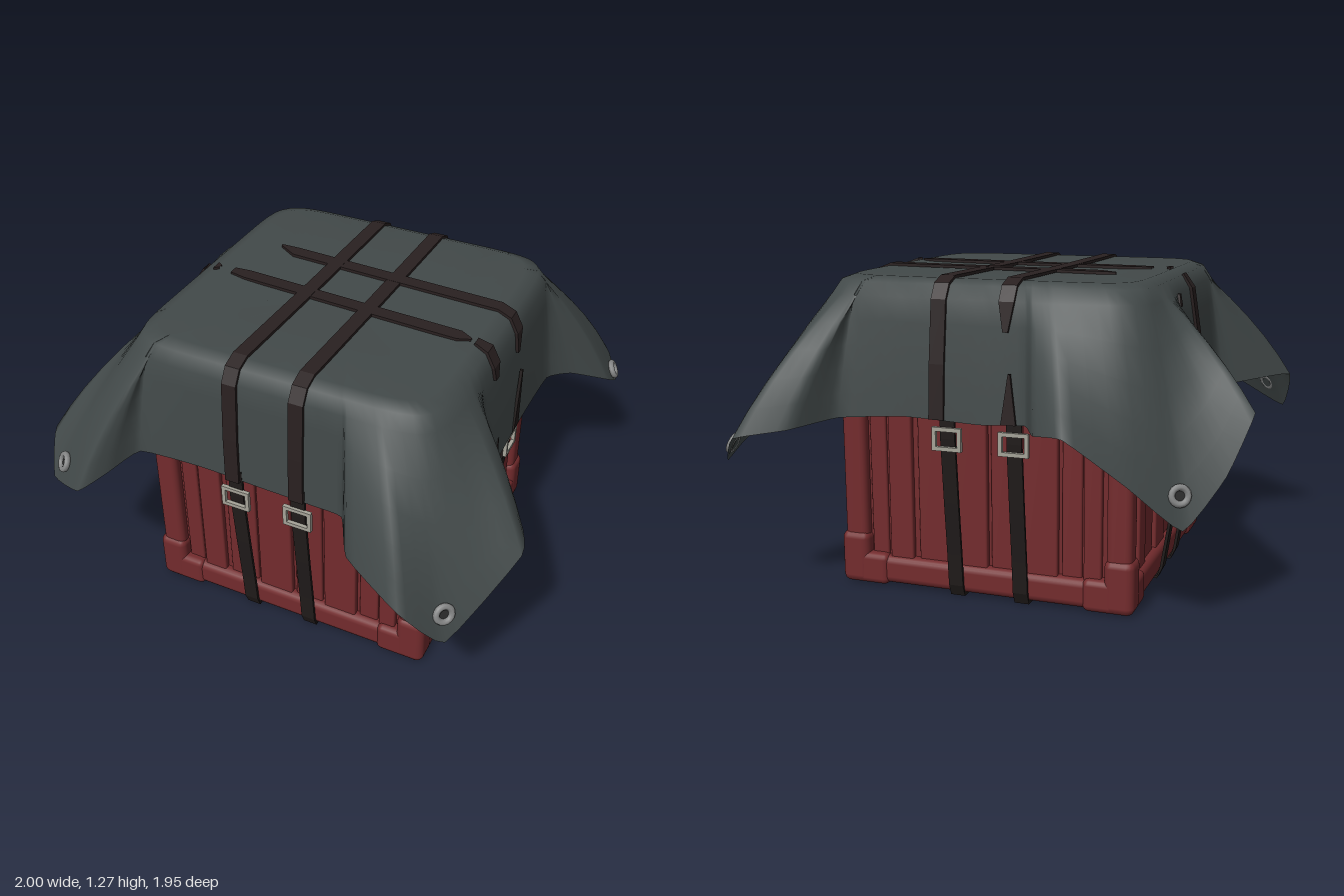
import * as THREE from 'three';
import { RoundedBoxGeometry } from 'three/addons/geometries/RoundedBoxGeometry.js';

const paint = (name, color, side = THREE.FrontSide) =>
  Object.assign(new THREE.MeshStandardMaterial({ color, side }), { name });

const CX = 0.03;            // crate centre in x
const HALF = 0.66;          // half width of the cloth at its shoulder

// Hem of the cloth, walked from the front centre towards +x and round
const HEM = [
  [0, .75, .68], [.2, .745, .68], [.33, .745, .69], [.43, .73, .86], [.68, .66, .97],
  [.82, .455, .845], [1, .75, .6], [.95, .77, .46], [.78, .79, .31], [.735, .73, .23],
  [.725, .72, -.2], [.73, .71, -.56], [.81, .69, -.67], [.95, .63, -.78], [.97, .56, -.9],
  [.89, .67, -.98], [.7, .7, -.9], [.58, .72, -.72], [.3, .74, -.7], [0, .73, -.7],
  [-.18, .74, -.7], [-.26, .74, -.84], [-.39, .75, -.9], [-.6, .57, -.8], [-.78, .4, -.7],
  [-.92, .6, -.64], [-1, .82, -.56], [-.92, .78, -.4], [-.69, .72, -.18], [-.68, .7, .1],
  [-.68, .7, .48], [-.8, .72, .58], [-.97, .74, .69], [-.93, .57, .8], [-.72, .65, .91],
  [-.63, .71, .82], [-.55, .76, .7], [-.28, .76, .68],
];
// Eyelets: position along the hem, and how far down the cloth
const EYELETS = [[5, .84], [14, .9], [24, .84], [33.3, .85]];
const hemCurve = new THREE.CatmullRomCurve3(HEM.map(p => new THREE.Vector3(...p)), true, 'catmullrom', .2);

// Point of the hanging cloth: u runs round the hem, v from shoulder (0) to hem (1)
function drape(u, v, scale = 1, y = 1.19) {
  const hem = hemCurve.getPoint(((u % 1) + 1) % 1);
  const dx = hem.x - CX, n = 9;
  const r = HALF * scale / Math.pow(Math.abs(dx) ** n + Math.abs(hem.z) ** n, 1 / n);
  const out = v + .3 * v * (1 - v);    // slight outward belly
  const mix = THREE.MathUtils.lerp;
  return new THREE.Vector3(mix(CX + dx * r, hem.x, out), mix(y, hem.y, v), mix(hem.z * r, hem.z, out));
}

function clothGeometry() {
  const rows = [[0, 0, 1.257], [0, .5, 1.257], [0, .88, 1.262], [0, .955, 1.242], [0, 1, 1.19],
    [.2, 1, 1.19], [.4, 1, 1.19], [.6, 1, 1.19], [.8, 1, 1.19], [1, 1, 1.19]];
  const N = HEM.length * 4, pos = [], index = [];
  rows.forEach(([v, s, y], r) => {
    for (let i = 0; i < N; i++) {
      pos.push(...drape(i / N, v, s, y).toArray());
      if (r === 0) continue;
      const a = (r - 1) * N + i, b = (r - 1) * N + (i + 1) % N;
      index.push(a, a + N, b + N, a, b + N, b);
    }
  });
  const g = new THREE.BufferGeometry();
  g.setAttribute('position', new THREE.Float32BufferAttribute(pos, 3));
  g.setIndex(index);
  g.computeVertexNormals();
  return g;
}

// Flat band through points [x, y, z, width], lying along a fixed width axis
function bandGeometry(points, axis, thick = 0.012) {
  const P = points.map(p => new THREE.Vector3(p[0], p[1], p[2]));
  const pos = [], index = [];
  P.forEach((p, i) => {
    const t = P[Math.min(i + 1, P.length - 1)].clone().sub(P[Math.max(i - 1, 0)]).normalize();
    const n = t.cross(axis).normalize();
    const w = (points[i][3] ?? 0.06) / 2;
    for (const [a, b] of [[1, 1], [-1, 1], [-1, -1], [1, -1]])
      pos.push(...p.clone().addScaledVector(axis, a * w).addScaledVector(n, b * thick / 2).toArray());
    if (i === 0) return;
    for (let k = 0; k < 4; k++) {
      const a = (i - 1) * 4 + k, b = (i - 1) * 4 + (k + 1) % 4;
      index.push(a, b, b + 4, a, b + 4, a + 4);
    }
  });
  const g = new THREE.BufferGeometry();
  g.setAttribute('position', new THREE.Float32BufferAttribute(pos, 3));
  g.setIndex(index);
  const flat = g.toNonIndexed();
  flat.computeVertexNormals();
  return flat;
}

export function createModel() {
  const red = paint('crate red', 0x732b2d);
  const grey = paint('cloth grey', 0x424949, THREE.DoubleSide);
  const brown = paint('strap brown', 0x292020, THREE.DoubleSide);
  const black = paint('lower strap black', 0x201b1a, THREE.DoubleSide);
  const steel = paint('buckle steel', 0xa5a398);
  const ring = paint('eyelet metal', 0x858686);
  const hole = paint('eyelet hole', 0x2a2a2a, THREE.DoubleSide);

  const model = new THREE.Group();
  model.name = 'coveredCrate';
  const add = (parent, name, geo, mat, x = 0, y = 0, z = 0) => {
    const m = new THREE.Mesh(geo, mat);
    m.name = name;
    m.position.set(x, y, z);
    parent.add(m);
    return m;
  };
  const rbox = (w, h, d, r = 0.015) => new RoundedBoxGeometry(w, h, d, 2, r);

  // Crate: core, then one set of planks, rail and corner block per side
  const crate = new THREE.Group();
  crate.name = 'crate';
  crate.position.x = CX + 0.005;
  model.add(crate);
  add(crate, 'crateCore', new THREE.BoxGeometry(1.12, 1.08, 1.12), red, 0, 0.57, 0);
  const planks = [[-.455, .07, .573], [-.355, .1, .585], [-.215, .13, .575], [-.06, .15, .586],
    [.09, .12, .575], [.235, .14, .586], [.36, .08, .573], [.445, .07, .585]];
  for (let s = 0; s < 4; s++) {
    const side = new THREE.Group();
    side.name = 'crateSide';
    side.rotation.y = s * Math.PI / 2;
    crate.add(side);
    for (const [x, w, z] of planks) add(side, 'plank', rbox(w, 1.02, .04, .008), red, x, .61, z - .02);
    add(side, 'cornerPost', rbox(.1, 1.06, .1, .025), red, .552, .59, .552);
    add(side, 'bottomRail', rbox(1.16, .115, .1, .03), red, 0, .07, .555);
    add(side, 'cornerBlock', rbox(.12, .215, .12, .03), red, .555, .1125, .555);
    add(side, 'cornerArm', rbox(.2, .13, .1, .025), red, .51, .07, .563);
    add(side, 'cornerArm', rbox(.1, .13, .2, .025), red, .563, .07, .51);
  }

  // Cloth cover with an eyelet near each tip
  add(model, 'clothCover', clothGeometry(), grey);
  for (const [tip, v] of EYELETS) {
    const u = tip / HEM.length, e = 0.01;
    const across = drape(u + e, v).sub(drape(u - e, v));
    const down = drape(u, .95).sub(drape(u, .7));
    const normal = down.cross(across).normalize();
    const eyelet = new THREE.Group();
    eyelet.name = 'eyelet';
    eyelet.position.copy(drape(u, v)).addScaledVector(normal, .009);
    eyelet.quaternion.setFromUnitVectors(new THREE.Vector3(0, 0, 1), normal);
    model.add(eyelet);
    add(eyelet, 'eyeletRing', new THREE.TorusGeometry(.031, .013, 8, 16), ring);
    add(eyelet, 'eyeletHole', new THREE.CircleGeometry(.024, 16), hole);
  }

  const X = new THREE.Vector3(1, 0, 0), Z = new THREE.Vector3(0, 0, 1);

  // Straps running front to back over the cloth, one of them lost in a fold at the back
  const over = [[.69, .75], [.685, .95], [.668, 1.19], [.636, 1.245], [.58, 1.267], [0, 1.264],
    [-.58, 1.267], [-.636, 1.245], [-.668, 1.19]];
  const leanX = (front, back) => ([z, y, w]) => [THREE.MathUtils.lerp(front, back, (0.7 - z) / 1.4), y, z, w];
  for (const [front, back, end] of [
    [-.135, -.1, [[-.682, 1.08, .02]]],
    [.14, .17, [[-.696, .95], [-.71, .74]]],
  ]) add(model, 'topStrap', bandGeometry([...over, ...end].map(leanX(front, back)), X), brown);
  add(model, 'strapEnd', bandGeometry([[-.12, .93, -.697, .008], [-.12, .74, -.71]], X), brown);

  // Straps running side to side, half sunk in the cloth
  const across = [
    [[-.39, 1.263, -.225, .01], [-.31, 1.264, -.2], [.61, 1.267, -.15], [.665, 1.246, -.145], [.697, 1.19, -.14], [.705, 1.1, -.13, .02]],
    [[-.47, 1.263, .05, .04], [-.4, 1.263, .055], [.54, 1.265, .11], [.59, 1.264, .115, .01]],
    [[.61, 1.267, .12, .04], [.665, 1.246, .12], [.697, 1.19, .125], [.703, 1.13, .125, .03]],
    [[-.55, 1.266, .05, .05], [-.53, 1.265, .05, .02]],
    [[-.6, 1.246, .04, .05], [-.636, 1.19, .05], [-.665, .95, .09], [-.686, .72, .12]],
    [[-.636, 1.19, -.2, .02], [-.643, 1.14, -.2, .04]],
  ];
  for (const path of across) add(model, 'crossStrap', bandGeometry(path, Z), brown);

  // Lower straps slung under the crate
  for (const x of [-.13, .14]) {
    const half = [[.675, .8], [.672, .66], [.648, .4], [.625, .18], [.614, .05], [.6, .008]];
    const path = [...half, ...half.slice().reverse().map(([z, y]) => [-z, y])].map(([z, y]) => [x, y, z]);
    add(model, 'lowerStrap', bandGeometry(path, X), black);
  }
  for (const [z, peak] of [[.12, .83], [-.13, 1.0]]) {
    const path = [[.72, peak, z - .03, .008], [.726, .74, z, .055], [.698, .65, z], [.668, .35, z], [.652, .05, z], [.635, .008, z],
      [-.565, .008, z], [-.582, .05, z], [-.62, .3, z], [-.655, .65, z], [-.672, .78, z]];
    add(model, 'lowerCrossStrap', bandGeometry(path, Z), black);
  }

  // Buckles: two strap-wide rails and two ends
  const buckle = (x, z, turn) => {
    const b = new THREE.Group();
    b.name = 'buckle';
    b.position.set(x, .66, z);
    b.rotation.y = turn;
    model.add(b);
    for (const s of [-1, 1]) {
      add(b, 'buckleBar', new THREE.BoxGeometry(.12, .016, .016), steel, 0, s * .038, .008);
      add(b, 'buckleEnd', new THREE.BoxGeometry(.016, .09, .016), steel, s * .052, 0, .008);
    }
  };
  for (const x of [-.13, .14]) {
    buckle(x, .675, 0);
    buckle(x, -.675, Math.PI);
  }
  for (const z of [.12, -.13]) {
    buckle(.704, z, Math.PI / 2);
    buckle(-.659, z, -Math.PI / 2);
  }
  return model;
}
